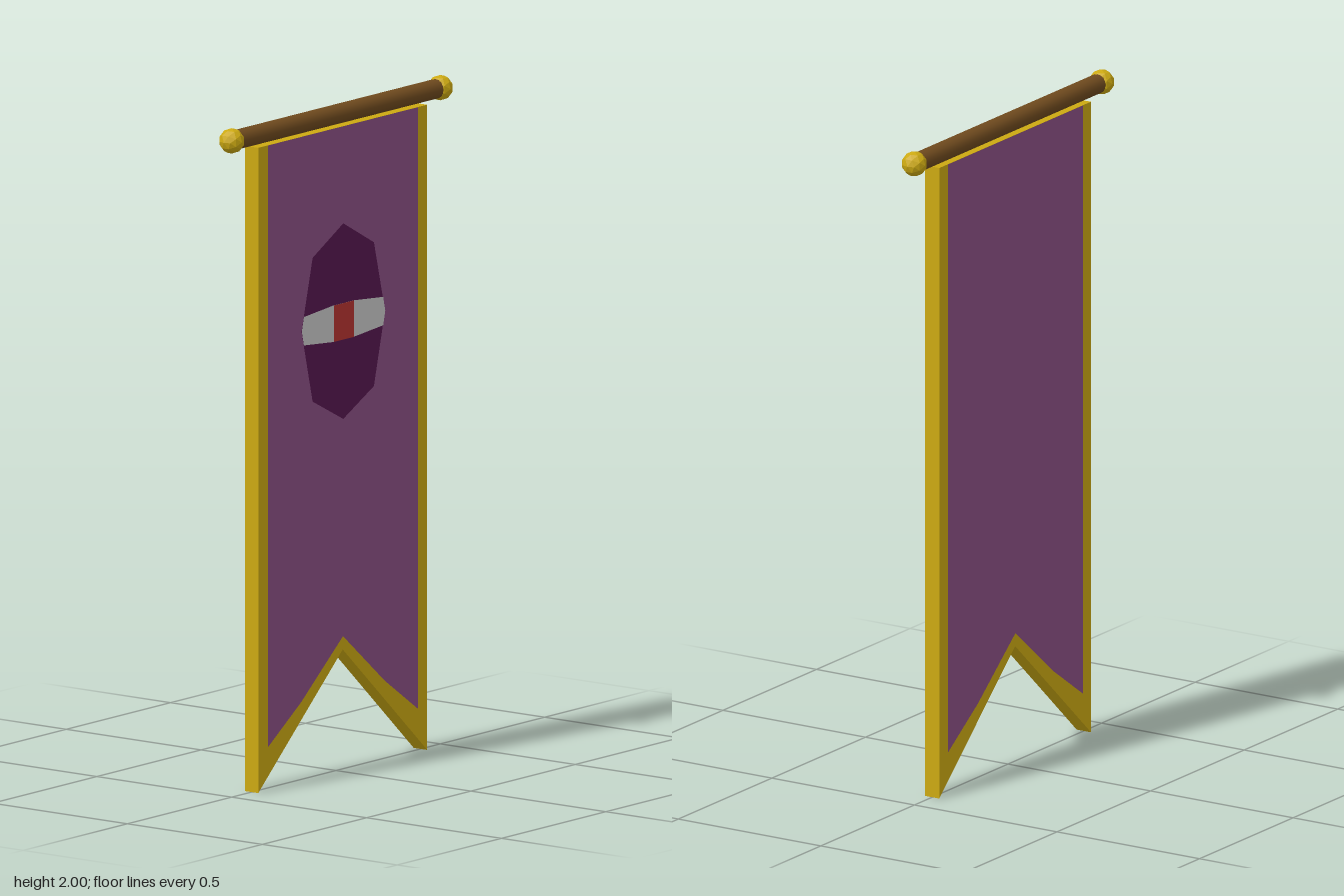
import * as THREE from 'three';

const mat = (color, extra = {}) => new THREE.MeshStandardMaterial({ color, ...extra });
const shapeOf = (points) => new THREE.Shape(points.map(([x, y]) => new THREE.Vector2(x, y)));

// Closes a right-half outline by mirroring it across x = 0
const mirrored = (half) => shapeOf([
  ...half,
  ...half.filter(([x]) => x > 0).reverse().map(([x, y]) => [-x, y]),
]);

export function createModel() {
  const group = new THREE.Group();
  const gold = mat(0xcca912);
  const goldFaceted = mat(0xcca912, { flatShading: true });
  const purple = mat(0x8c5085);
  const halfDepth = 0.025;

  const add = (name, geometry, material, x = 0, y = 0, z = 0) => {
    const mesh = new THREE.Mesh(geometry, material);
    mesh.name = name;
    mesh.position.set(x, y, z);
    group.add(mesh);
    return mesh;
  };

  // Gold cloth body with a swallowtail hem; its rim forms the border
  const cloth = mirrored([[0, 0.365], [0.2, 0.185], [0.405, 0], [0.405, 1.93]]);
  add('goldBorder', new THREE.ExtrudeGeometry(cloth, { depth: 2 * halfDepth, bevelEnabled: false }),
    gold, 0, 0, -halfDepth);

  // Purple field on both faces
  const field = new THREE.ShapeGeometry(
    mirrored([[0, 0.405], [0.2, 0.24], [0.36, 0.13], [0.36, 1.93]]));
  add('frontField', field, purple, 0, 0, halfDepth + 0.001);
  add('backField', field, purple, 0, 0, -halfDepth - 0.001).rotation.y = Math.PI;

  // Emblem on the front: dark octagon, pale band, red centre
  const emblem = mirrored([[0, 1.055], [0.147, 1.13], [0.2, 1.347], [0.147, 1.56], [0, 1.64]]);
  add('emblemOctagon', new THREE.ShapeGeometry(emblem), mat(0x571850), 0, 0, halfDepth + 0.002);
  const band = mirrored([[0.05, 1.293], [0.19, 1.305], [0.2, 1.347], [0.19, 1.39], [0.05, 1.402]]);
  add('emblemBand', new THREE.ShapeGeometry(band), mat(0xcccccc), 0, 0, halfDepth + 0.003);
  add('emblemCentre', new THREE.PlaneGeometry(0.096, 0.109), mat(0xb83430), 0, 1.3475, halfDepth + 0.004);

  // Wooden rod with a gold knob at each end
  const rod = new THREE.CylinderGeometry(0.029, 0.029, 1, 16).rotateZ(Math.PI / 2);
  add('rod', rod, mat(0x6f4a1e), 0, 1.963, 0);
  const knob = new THREE.IcosahedronGeometry(0.038, 1);
  for (const [name, side] of [['leftKnob', 1], ['rightKnob', -1]]) {
    add(name, knob, goldFaceted, side * 0.5, 1.963, 0);
  }

  return group;
}
